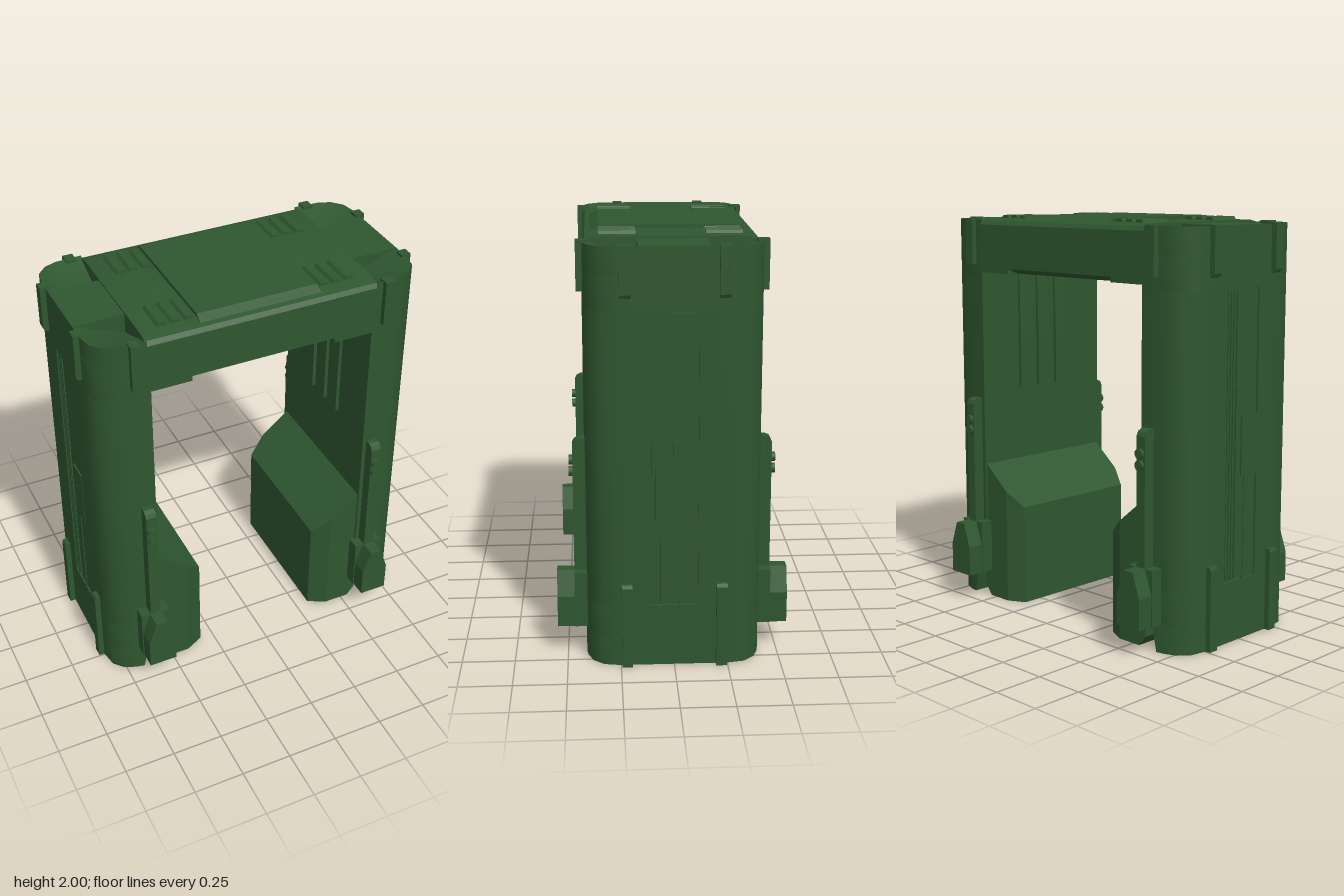
import * as THREE from 'three';
import { toCreasedNormals } from 'three/addons/utils/BufferGeometryUtils.js';

const green = new THREE.MeshStandardMaterial({ color: 0x2f5730, side: THREE.DoubleSide });
green.name = 'dark green';

// outer corner of a leg seen from above, as x, z
const CORNER = [[0.82, 0.16], [0.82, 0.25], [0.805, 0.33], [0.76, 0.38], [0.7, 0.403], [0.57, 0.41]];

function add(parent, name, geometry) {
  const mesh = new THREE.Mesh(geometry, green);
  mesh.name = name;
  parent.add(mesh);
  return mesh;
}

// box given by its limits
function box(parent, name, x0, x1, y0, y1, z0, z1) {
  const g = new THREE.BoxGeometry(x1 - x0, y1 - y0, z1 - z0);
  g.translate((x0 + x1) / 2, (y0 + y1) / 2, (z0 + z1) / 2);
  return add(parent, name, g);
}

function extrude(points, depth) {
  const shape = new THREE.Shape(points.map(([a, b]) => new THREE.Vector2(a, b)));
  return new THREE.ExtrudeGeometry(shape, { depth, bevelEnabled: false });
}

// plan outline (x, z) raised from y0 to y1
function column(points, y0, y1) {
  const g = extrude(points.map(([x, z]) => [x, -z]), y1 - y0);
  g.rotateX(-Math.PI / 2);
  g.translate(0, y0, 0);
  return g;
}

// symmetric profile (z, y) swept along x
function sweepX(half, x0, x1) {
  const pts = [...half, ...half.map(([z, y]) => [-z, y]).reverse()];
  const g = extrude(pts, x1 - x0);
  g.rotateY(Math.PI / 2);
  g.translate(x0, 0, 0);
  return g;
}

function legPlan(inner, notch) {
  const back = CORNER.slice(0, 5).map(([x, z]) => [x, -z]).reverse();
  const recess = notch ? [[0.82, -0.11], [0.807, -0.11], [0.807, 0.115], [0.82, 0.115]] : [];
  return [[inner, -0.41], ...back, ...recess, ...CORNER.slice(0, 5), [inner, 0.41]];
}

// outer wall and sunken fan floor of a corner pocket
function pocket(s) {
  const p = [];
  const deep = [0.575, 1.88, 0.165 * s];
  for (let i = 0; i < CORNER.length - 1; i++) {
    const [[ax, az], [bx, bz]] = [CORNER[i], CORNER[i + 1]];
    const a = [ax, 1.975, az * s], b = [bx, 1.975, bz * s];
    const c = [ax, 1.85, az * s], d = [bx, 1.85, bz * s];
    p.push(...a, ...b, ...c, ...b, ...d, ...c, ...deep, ...b, ...a);
  }
  const g = new THREE.BufferGeometry();
  g.setAttribute('position', new THREE.Float32BufferAttribute(p, 3));
  g.computeVertexNormals();
  return toCreasedNormals(g, 0.6);
}

function makeLeg() {
  const leg = new THREE.Group();
  leg.name = 'leg';

  // column with a recess for the side panel
  [[0.14, 0.3, false], [0.3, 1.69, true], [1.69, 1.85, false]].forEach(([y0, y1, notch]) =>
    add(leg, 'column', toCreasedNormals(column(legPlan(0.56, notch), y0, y1), 0.6)));
  box(leg, 'columnCap', 0.56, 0.82, 1.84, 1.975, -0.16, 0.16);

  // outer sole, cut back beside the slot
  const sole = column(legPlan(0.63, false), 0, 0.14);
  const pos = sole.attributes.position;
  for (let i = 0; i < pos.count; i++) {
    if (pos.getY(i) < 0.01 && pos.getX(i) < 0.64) pos.setX(i, 0.66);
  }
  sole.computeVertexNormals();
  add(leg, 'outerSole', toCreasedNormals(sole, 0.6));

  // inner foot with a sloping top
  const foot = extrude([[0.41, 0], [0.54, 0], [0.58, 0.05], [0.58, 0.71], [0.56, 0.71], [0.41, 0.585]], 0.8);
  foot.translate(0, 0, -0.4);
  add(leg, 'foot', foot);
  const toe = extrude([[0.32, 0], [0.41, 0], [0.41, 0.585], [0.32, 0.51]], 0.8);
  toe.translate(0, 0, -0.4);
  const tp = toe.attributes.position;
  for (let i = 0; i < tp.count; i++) {
    if (tp.getX(i) < 0.33) tp.setZ(i, Math.sign(tp.getZ(i)) * 0.355);
  }
  toe.computeVertexNormals();
  add(leg, 'footPad', toe);

  // side panel: long ribs, hatch and lower strip
  for (const z of [0.1, 0.08, 0.06]) box(leg, 'panelRib', 0.8, 0.817, 0.31, 1.68, z - 0.006, z + 0.006);
  box(leg, 'panelCover', 0.8, 0.815, 0.31, 1.68, -0.105, 0.04);
  box(leg, 'panelHatch', 0.8, 0.822, 0.8, 1.09, -0.112, 0.005);
  box(leg, 'panelStrip', 0.8, 0.819, 0.3, 0.8, -0.035, -0.02);

  // wedge slats on the inner face
  for (let i = 0; i < 3; i++) {
    const slat = extrude([[0.57, 1.09], [0.57, 1.71], [0.55, 1.71], [0.542, 1.35], [0.542, 1.09]], 0.075);
    slat.translate(0, 0, -0.17 + i * 0.125);
    add(leg, 'ventSlat', slat);
  }

  for (const s of [1, -1]) {
    const name = s > 0 ? 'Front' : 'Back';
    add(leg, 'cornerPocket' + name, pocket(s));

    // corner clamps
    const zc = 0.22 * s;
    const sideClamp = [[0.8, 1.74], [0.84, 1.75], [0.848, 1.765], [0.848, 1.98], [0.8, 1.98]];
    const lowClamp = [[0.8, 0], [0.848, 0], [0.848, 0.395], [0.84, 0.41], [0.8, 0.41]];
    for (const profile of [sideClamp, lowClamp]) {
      const g = extrude(profile, 0.05);
      g.translate(0, 0, zc - 0.025);
      add(leg, 'sideClamp' + name, g);
    }
    const side = new THREE.Group();
    side.name = 'endFittings' + name;
    if (s < 0) side.scale.z = -1;
    leg.add(side);
    box(side, 'endClamp', 0.605, 0.655, 1.75, 1.98, 0.38, 0.435);

    // boot with a pointed front
    box(side, 'bootBase', 0.533, 0.683, 0.14, 0.41, 0.38, 0.465);
    const boot = extrude([[0.538, 0.14], [0.678, 0.14], [0.678, 0.29], [0.637, 0.41], [0.579, 0.41], [0.538, 0.29]], 0.085);
    boot.translate(0, 0, 0.462);
    add(side, 'boot', boot);

    // strut with two bolts
    const strut = extrude([[-0.38, 0.4], [-0.465, 0.4], [-0.465, 1.03], [-0.455, 1.05], [-0.435, 1.06], [-0.38, 1.06]], 0.052);
    strut.rotateY(Math.PI / 2);
    strut.translate(0.582, 0, 0);
    add(side, 'strut', strut);
    for (const y of [0.95, 0.895]) {
      const bolt = new THREE.CylinderGeometry(0.023, 0.023, 0.05, 16);
      bolt.rotateX(Math.PI / 2);
      bolt.translate(0.608, y, 0.458);
      add(side, 'bolt', bolt);
    }
  }
  return leg;
}

export function createModel() {
  const model = new THREE.Group();
  model.name = 'gateFrame';

  // the legs are the same part turned half round
  const left = makeLeg();
  left.name = 'leftLeg';
  const right = makeLeg();
  right.name = 'rightLeg';
  right.rotation.y = Math.PI;
  model.add(left, right);

  // crossbeam: lower edge chamfered in the middle, full at the ends
  const top = [[0.41, 1.95], [0.395, 1.97], [0.34, 1.983]];
  add(model, 'beam', toCreasedNormals(sweepX([[0.35, 1.71], [0.41, 1.735], ...top], -0.36, 0.36), 0.6));
  for (const [x0, x1] of [[-0.575, -0.36], [0.36, 0.575]]) {
    add(model, 'beamEnd', toCreasedNormals(sweepX([[0.41, 1.71], ...top], x0, x1), 0.6));
  }

  // raised top plate and short ribs
  add(model, 'topPlate', sweepX([[0.38, 1.97], [0.33, 2]], -0.3, 0.3));
  for (const s of [-1, 1]) {
    for (const x of [0.335, 0.4, 0.465]) {
      for (const t of [-1, 1]) {
        const rib = extrude([[-0.028, 1.98], [0.028, 1.98], [0.015, 1.998], [-0.015, 1.998]], 0.17);
        rib.translate(s * x, 0, t * 0.245 - 0.085);
        add(model, 'topRib', rib);
      }
    }
  }
  return model;
}
